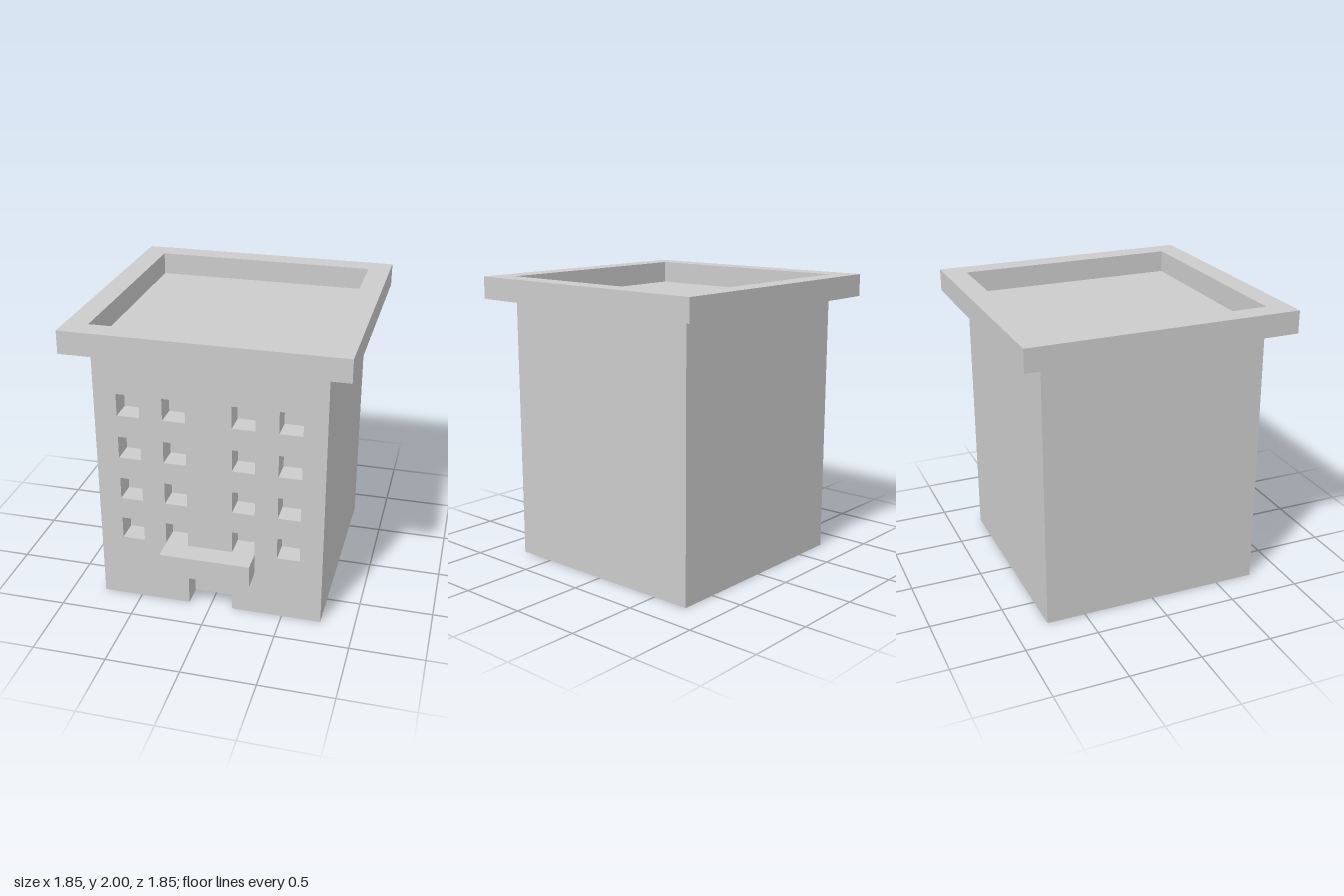
import * as THREE from 'three';

// The whole building sits on a regular module: 13 units tall, 12 wide
const U = 2 / 13;

const material = new THREE.MeshStandardMaterial({ color: 0xcccccc, flatShading: true });

function addMesh(parent, name, geometry, x = 0, y = 0, z = 0) {
  const mesh = new THREE.Mesh(geometry, material);
  mesh.name = name;
  mesh.position.set(x, y, z);
  parent.add(mesh);
  return mesh;
}

// Rectangular outline given by its corners in units
function rect(PathType, x0, y0, x1, y1) {
  return new PathType([[x0, y0], [x1, y0], [x1, y1], [x0, y1]]
    .map(([x, y]) => new THREE.Vector2(x * U, y * U)));
}

// Front wall: doorway notched into the outline, windows cut as holes
function frontWallGeometry() {
  const shape = new THREE.Shape([
    [-5, 0], [-1, 0], [-1, 2], [1, 2], [1, 0], [5, 0], [5, 12], [-5, 12],
  ].map(([x, y]) => new THREE.Vector2(x * U, y * U)));
  for (const x of [-4, -2, 1, 3]) {
    for (const y of [3, 5, 7, 9]) {
      shape.holes.push(rect(THREE.Path, x, y, x + 1, y + 1));
    }
  }
  return new THREE.ExtrudeGeometry(shape, { depth: U, bevelEnabled: false });
}

// Overhanging square ring around the sunken roof
function parapetGeometry() {
  const shape = rect(THREE.Shape, -6, -6, 6, 6);
  shape.holes.push(rect(THREE.Path, -5, -5, 5, 5));
  const geometry = new THREE.ExtrudeGeometry(shape, { depth: U, bevelEnabled: false });
  return geometry.rotateX(-Math.PI / 2);
}

export function createModel() {
  const building = new THREE.Group();
  building.name = 'apartmentBuilding';

  // Solid core, one unit shallower than the front wall; its top is the roof
  addMesh(building, 'mainBlock', new THREE.BoxGeometry(10 * U, 12 * U, 9 * U), 0, 6 * U, -0.5 * U);
  addMesh(building, 'frontWall', frontWallGeometry(), 0, 0, 4 * U);
  addMesh(building, 'roofParapet', parapetGeometry(), 0, 12 * U, 0);
  // Canopy over the doorway
  addMesh(building, 'doorCanopy', new THREE.BoxGeometry(4 * U, U, U), 0, 2.5 * U, 5.5 * U);

  return building;
}
